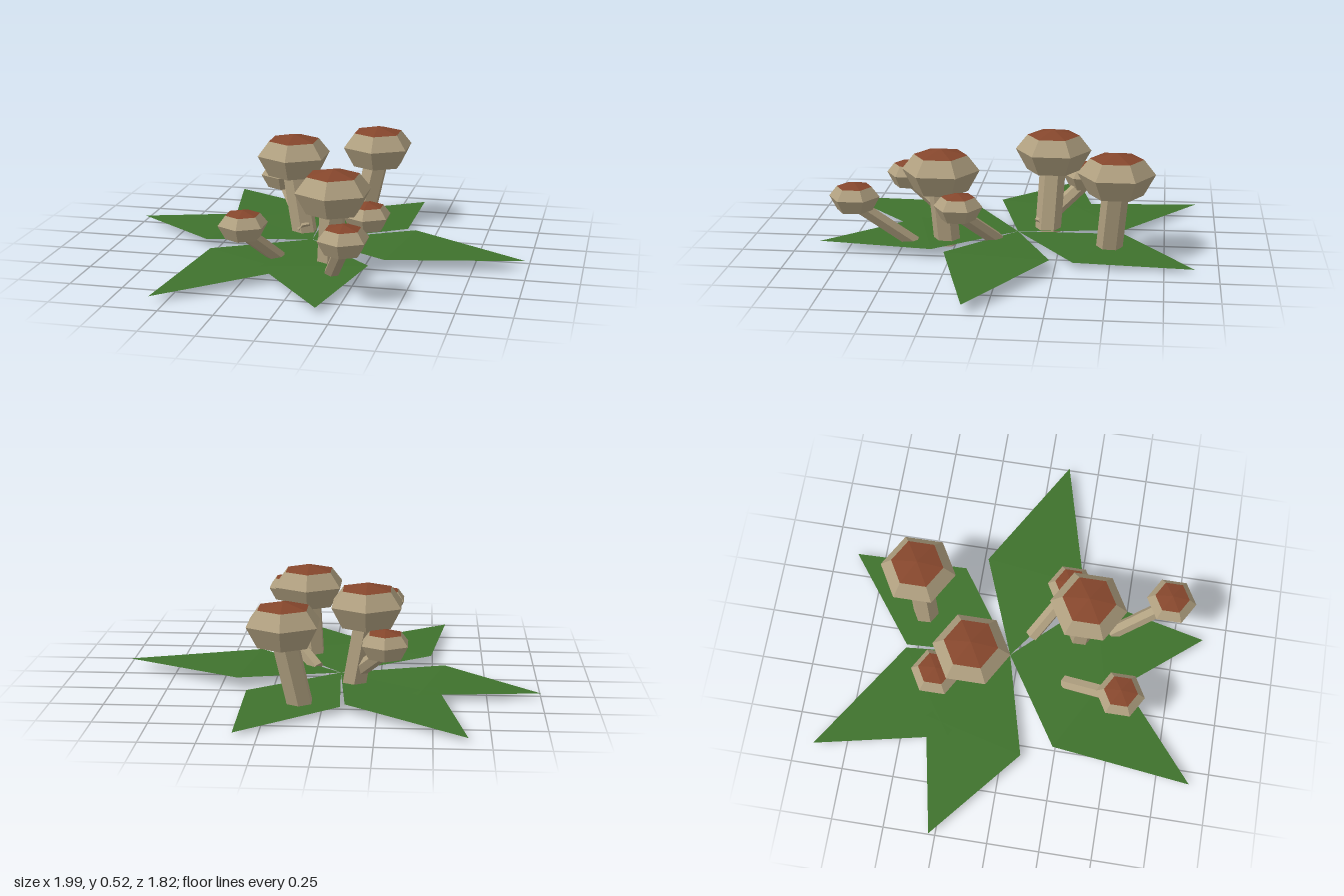
import * as THREE from 'three';

const mat = (name, color, extra = {}) => {
  const m = new THREE.MeshStandardMaterial({ color, flatShading: true, ...extra });
  m.name = name;
  return m;
};

// Kite-shaped leaf, bent slightly down across its widest line
function makeLeaf(base, tip, sideY, material) {
  const dir = tip.clone().sub(base).setY(0).normalize();
  const side = new THREE.Vector3(-dir.z, 0, dir.x).multiplyScalar(0.25);
  const mid = base.clone().addScaledVector(dir, 0.45).setY(sideY);
  const a = mid.clone().add(side), b = mid.clone().sub(side);
  const geo = new THREE.BufferGeometry().setFromPoints([base, a, b, a, tip, b]);
  geo.computeVertexNormals();
  return new THREE.Mesh(geo, material);
}

// Six-sided stem between two points, cut square to its own axis
function makeStem(from, to, radius, material) {
  const axis = to.clone().sub(from);
  const geo = new THREE.CylinderGeometry(radius, radius, axis.length(), 6);
  const mesh = new THREE.Mesh(geo, material);
  mesh.position.copy(from).add(to).multiplyScalar(0.5);
  mesh.quaternion.setFromUnitVectors(new THREE.Vector3(0, 1, 0), axis.normalize());
  return mesh;
}

// Hexagonal lathe from [radius, height] pairs, scaled by the cap radius
function hexLathe(profile, scale, material) {
  const points = profile.map(([r, y]) => new THREE.Vector2(r * scale, y * scale));
  const geo = new THREE.LatheGeometry(points, 6).toNonIndexed();
  geo.computeVertexNormals();
  return new THREE.Mesh(geo, material);
}

export function createModel() {
  const group = new THREE.Group();
  const green = mat('leaf green', 0x3f722d, { side: THREE.DoubleSide });
  const tan = mat('pale tan', 0xb0a080);
  const brown = mat('cap brown', 0x85462c);

  // Leaves: tip x, y, z, height at the widest line
  const leafBase = new THREE.Vector3(-0.06, 0.035, -0.04);
  [
    [0.99, 0.045, 0.10, 0.058],
    [0.36, 0.015, -0.89, 0.03],
    [-0.65, 0.02, -0.91, 0.042],
    [-1.0, 0.025, -0.28, 0.042],
    [-0.57, 0.03, 0.91, 0.046],
    [0.17, 0.03, 0.89, 0.048],
  ].forEach(([x, y, z, sideY], i) => {
    const leaf = makeLeaf(leafBase, new THREE.Vector3(x, y, z), sideY, green);
    leaf.name = `leaf${i + 1}`;
    group.add(leaf);
  });

  // Mushrooms: cap apex, stem foot, cap radius, stem radius
  [
    [[0.17, 0.505, -0.52], [0.10, 0.02, -0.49], 0.182, 0.063],
    [[-0.19, 0.52, -0.20], [-0.13, 0.02, -0.18], 0.185, 0.063],
    [[0.12, 0.49, 0.31], [0.10, 0.02, 0.285], 0.185, 0.063],
    [[0.25, 0.35, 0.70], [0.14, 0.03, 0.44], 0.12, 0.036],
    [[-0.25, 0.33, 0.52], [-0.155, 0.03, 0.25], 0.117, 0.036],
    [[-0.28, 0.34, -0.36], [-0.12, 0.055, -0.14], 0.12, 0.036],
    [[0.26, 0.315, 0.21], [0.06, 0.03, 0.05], 0.115, 0.036],
  ].forEach(([apex, foot, capR, stemR], i) => {
    const mushroom = new THREE.Group();
    mushroom.name = `mushroom${i + 1}`;
    const top = new THREE.Vector3(...apex);

    const stem = makeStem(new THREE.Vector3(...foot), top.clone().setY(top.y - capR * 0.85), stemR, tan);
    stem.name = 'stem';

    // Pale faceted rim and underside
    const rim = hexLathe([[0, -1.1], [0.7, -1.1], [1, -0.55], [0.69, -0.16]], capR, tan);
    rim.name = 'capRim';
    rim.position.copy(top);

    // Low brown cone on top
    const crown = hexLathe([[0.69, -0.16], [0, 0]], capR, brown);
    crown.name = 'capTop';
    crown.position.copy(top);

    mushroom.add(stem, rim, crown);
    group.add(mushroom);
  });
  return group;
}
